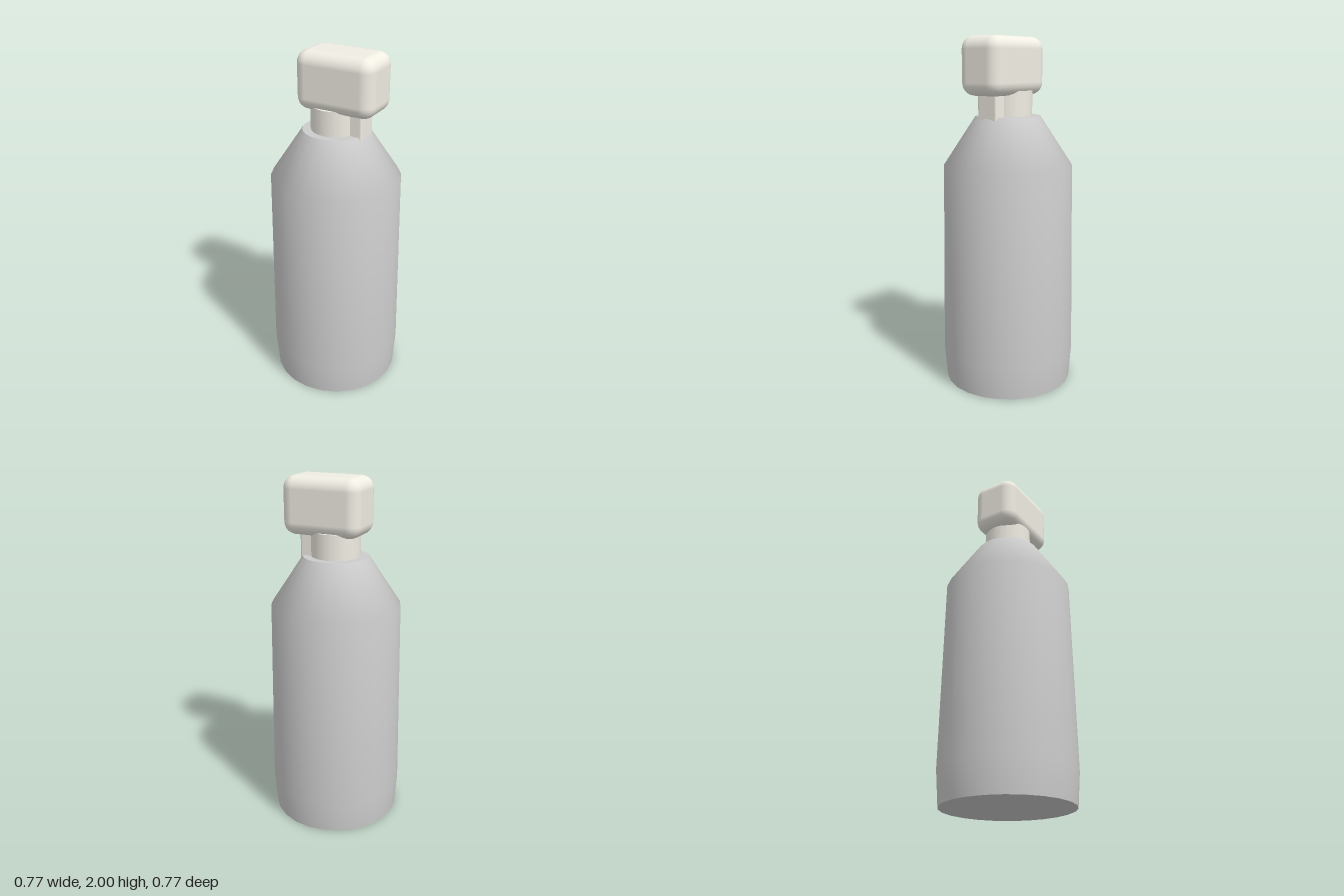
import * as THREE from 'three';
import { RoundedBoxGeometry } from 'three/addons/geometries/RoundedBoxGeometry.js';

const SIDES = 24;

export function createModel() {
  const model = new THREE.Group();
  const grey = new THREE.MeshStandardMaterial({ color: 0xcccccc });
  const cream = new THREE.MeshStandardMaterial({ color: 0xf0ede3 });

  const add = (parent, name, geometry, material, x = 0, y = 0, z = 0) => {
    const mesh = new THREE.Mesh(geometry, material);
    mesh.name = name;
    mesh.position.set(x, y, z);
    parent.add(mesh);
    return mesh;
  };

  // Bottle: smooth turned wall with sharp-edged flat caps
  const bottle = new THREE.Group();
  bottle.name = 'bottle';
  model.add(bottle);
  const profile = [[0.37, 0], [0.385, 0.19], [0.368, 1.29], [0.185, 1.565]]
    .map(([r, y]) => new THREE.Vector2(r, y));
  add(bottle, 'bottleWall', new THREE.LatheGeometry(profile, SIDES), grey);
  add(bottle, 'bottleBase', new THREE.CircleGeometry(0.37, SIDES), grey).rotation.x = Math.PI / 2;
  add(bottle, 'bottleTop', new THREE.CircleGeometry(0.185, SIDES), grey, 0, 1.565).rotation.x = -Math.PI / 2;

  // Sprayer: neck collar, offset rounded head, trigger sunk into the shoulder
  const sprayer = new THREE.Group();
  sprayer.name = 'sprayer';
  model.add(sprayer);
  add(sprayer, 'neck', new THREE.CylinderGeometry(0.138, 0.138, 0.15, SIDES), cream, 0, 1.63);
  add(sprayer, 'head', new RoundedBoxGeometry(0.46, 0.32, 0.276, 3, 0.07), cream, 0.045, 1.84);
  add(sprayer, 'trigger', new RoundedBoxGeometry(0.08, 0.24, 0.132, 2, 0.012), cream, 0.15, 1.64);

  return model;
}
